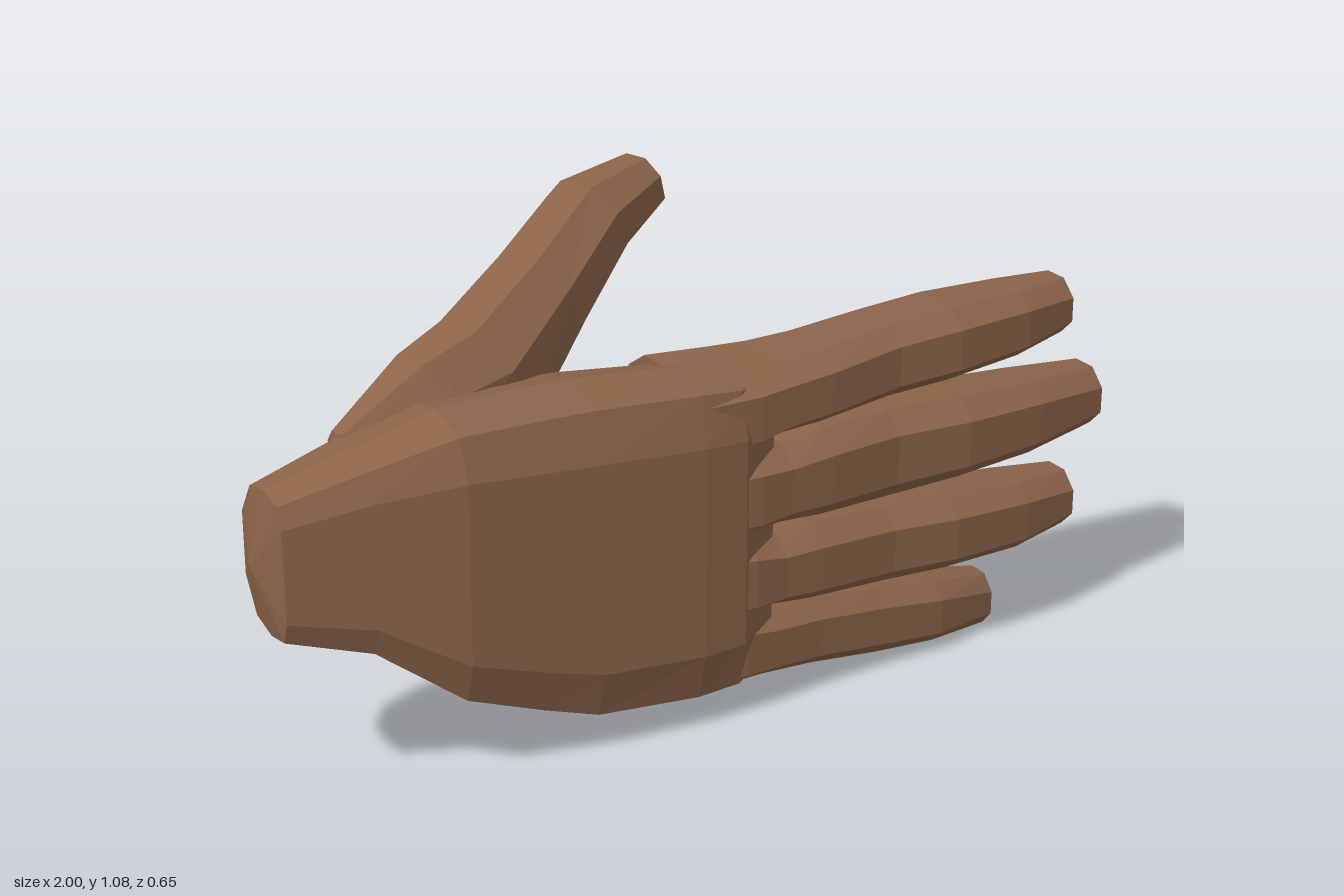
import * as THREE from 'three';

const V = (x, y, z) => new THREE.Vector3(x, y, z);

// Skin over a row of equal-sized rings, closed at both ends by a shallow point.
function loft(rings, startTip, endTip) {
  const n = rings[0].length, pos = [];
  const tri = (a, b, c) => pos.push(...a.toArray(), ...b.toArray(), ...c.toArray());
  const last = rings[rings.length - 1];
  for (let j = 0; j < n; j++) {
    const k = (j + 1) % n;
    for (let i = 0; i < rings.length - 1; i++) {
      const p = rings[i], q = rings[i + 1];
      tri(p[j], p[k], q[j]);
      tri(p[k], q[k], q[j]);
    }
    tri(startTip, rings[0][k], rings[0][j]);
    tri(endTip, last[j], last[k]);
  }
  const g = new THREE.BufferGeometry();
  g.setAttribute('position', new THREE.Float32BufferAttribute(pos, 3));
  g.computeVertexNormals();
  return g;
}

// Chamfered rectangle spanned by two half-axes; f is the flat part of each side.
function octagon(center, u, v, f) {
  const corners = [[1, f], [f, 1], [-f, 1], [-1, f], [-1, -f], [-f, -1], [f, -1], [1, -f]];
  return corners.map(([a, b]) => center.clone().addScaledVector(u, a).addScaledVector(v, b));
}

// Finger section: x, low y, high y, back z, front z. The end is rounder than the rest.
const fingerRing = ([x, y0, y1, z0, z1], i, all) =>
  octagon(V(x, (y0 + y1) / 2, (z0 + z1) / 2), V(0, (y1 - y0) / 2, 0), V(0, 0, (z1 - z0) / 2),
    i === all.length - 1 ? 0.43 : 0.55);

// Palm outline as fractions of height and depth (flat front, chamfered back)
const palmProfile = [
  [0.05, 0.24], [0.28, 0], [0.72, 0], [0.95, 0.24], [1, 0.6],
  [0.965, 0.92], [0.82, 1], [0.18, 1], [0.035, 0.92], [0, 0.6],
];
const palmSections = [
  [-0.97, 0.36, 0.67, 0.0, 0.2],
  [-0.8, 0.31, 0.725, -0.03, 0.25],
  [-0.62, 0.17, 0.78, -0.075, 0.295],
  [-0.45, 0.105, 0.785, -0.085, 0.305],
  [-0.33, 0.065, 0.787, -0.075, 0.312],
  [-0.1, 0.052, 0.777, -0.025, 0.322],
  [0.0, 0.057, 0.768, 0.01, 0.315],
  [0.1, 0.085, 0.745, 0.09, 0.255],
];

const fingers = {
  indexFinger: { tip: [0.905, 0.735, 0.155], rings: [
    [-0.1, 0.575, 0.765, 0.0, 0.3], [0.04, 0.59, 0.766, 0.03, 0.308], [0.12, 0.61, 0.768, 0.05, 0.302],
    [0.22, 0.615, 0.775, 0.065, 0.295], [0.4, 0.63, 0.79, 0.068, 0.272], [0.55, 0.64, 0.802, 0.07, 0.28],
    [0.74, 0.655, 0.8, 0.08, 0.26], [0.885, 0.67, 0.795, 0.088, 0.22]] },
  middleFinger: { tip: [1, 0.505, 0.155], rings: [
    [-0.1, 0.4, 0.6, 0.0, 0.305], [0.04, 0.4, 0.598, 0.03, 0.314], [0.12, 0.41, 0.59, 0.05, 0.305],
    [0.22, 0.405, 0.6, 0.065, 0.3], [0.4, 0.4, 0.6, 0.068, 0.275], [0.58, 0.41, 0.595, 0.07, 0.285],
    [0.78, 0.42, 0.585, 0.08, 0.265], [0.975, 0.438, 0.572, 0.09, 0.225]] },
  ringFinger: { tip: [0.935, 0.272, 0.155], rings: [
    [-0.1, 0.215, 0.42, 0.0, 0.305], [0.03, 0.215, 0.41, 0.03, 0.312], [0.11, 0.222, 0.388, 0.05, 0.302],
    [0.2, 0.213, 0.388, 0.065, 0.295], [0.4, 0.2, 0.375, 0.068, 0.272], [0.56, 0.197, 0.367, 0.07, 0.28],
    [0.76, 0.195, 0.35, 0.08, 0.26], [0.915, 0.205, 0.335, 0.09, 0.22]] },
  littleFinger: { tip: [0.732, 0.062, 0.15], rings: [
    [-0.1, 0.065, 0.235, 0.02, 0.295], [0.02, 0.058, 0.228, 0.045, 0.295], [0.09, 0.057, 0.213, 0.06, 0.285],
    [0.22, 0.045, 0.2, 0.075, 0.265], [0.4, 0.022, 0.178, 0.08, 0.25], [0.55, 0.012, 0.155, 0.085, 0.245],
    [0.712, 0.002, 0.123, 0.098, 0.205]] },
};

// Thumb stations: x, y, z, half height, half depth
const thumbPath = [
  [-0.77, 0.67, 0.035, 0.05, 0.04], [-0.58, 0.7, 0.0, 0.13, 0.095], [-0.42, 0.73, -0.04, 0.155, 0.115],
  [-0.25, 0.865, -0.12, 0.115, 0.105], [-0.08, 0.975, -0.21, 0.095, 0.095], [0.08, 1.02, -0.262, 0.063, 0.063],
];

export function createModel() {
  const skin = new THREE.MeshStandardMaterial({ color: 0x8b6349, flatShading: true });
  skin.name = 'brown skin';
  const hand = new THREE.Group();
  hand.name = 'hand';
  const add = (name, geometry) => {
    const mesh = new THREE.Mesh(geometry, skin);
    mesh.name = name;
    hand.add(mesh);
  };

  // Palm and wrist
  const palmRings = palmSections.map(([x, y0, y1, z0, z1]) =>
    palmProfile.map(([t, s]) => V(x, y0 + (y1 - y0) * t, z0 + (z1 - z0) * s)));
  add('palm', loft(palmRings, V(-1, 0.51, 0.1), V(0.11, 0.41, 0.17)));

  // Four fingers, rooted as knuckles inside the palm
  for (const [name, { rings, tip }] of Object.entries(fingers)) {
    const [x, y0, y1, z0, z1] = rings[0];
    add(name, loft(rings.map(fingerRing), V(x, (y0 + y1) / 2, (z0 + z1) / 2), V(...tip)));
  }

  // Thumb, with sections square to its path
  const centers = thumbPath.map(([x, y, z]) => V(x, y, z));
  const thumbRings = thumbPath.map(([, , , h, w], i) => {
    const d = centers[Math.min(i + 1, centers.length - 1)].clone()
      .sub(centers[Math.max(i - 1, 0)]).normalize();
    const u = V(0, 1, 0).addScaledVector(d, -d.y).normalize();
    const v = d.clone().cross(u);
    return octagon(centers[i], u.multiplyScalar(h), v.multiplyScalar(w), 0.43);
  });
  add('thumb', loft(thumbRings, V(-0.79, 0.66, 0.045), V(0.112, 1.025, -0.268)));

  return hand;
}
